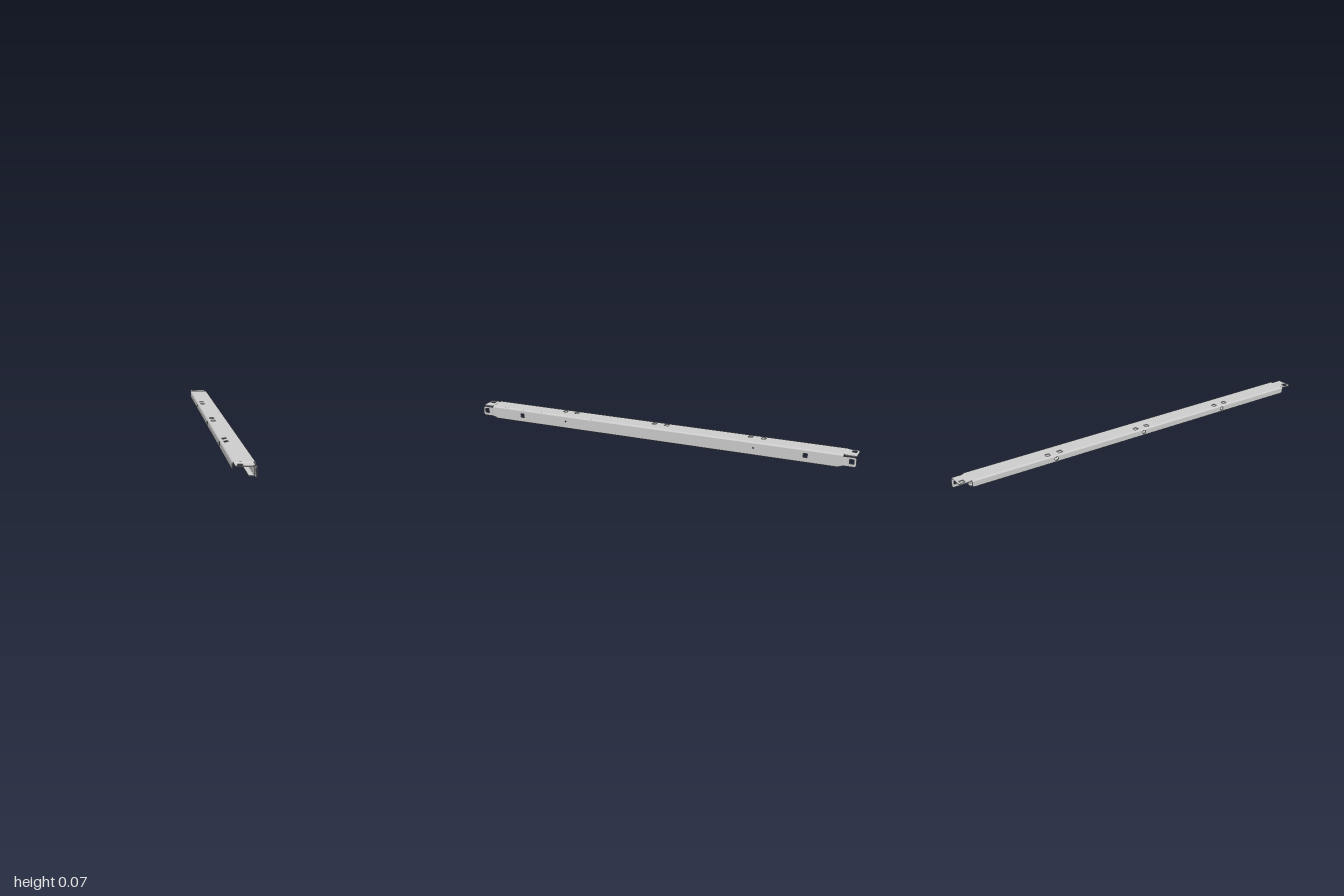
import * as THREE from 'three';
import { toCreasedNormals } from 'three/addons/utils/BufferGeometryUtils.js';

const T = 0.004;      // sheet thickness
const R = 0.007;      // outer bend radius
const X = 0.0485;     // half width
const H = 0.068;      // height
const STEP = 0.0035;  // offset of the end tabs
const Z0 = 0.94, Z1 = 0.95; // start and end of the offset bend

const material = new THREE.MeshStandardMaterial({ color: 0xcccccc });

// Outline with optional rounding per corner: [u, v, radius]
function outline(points, Type = THREE.Shape) {
  const path = new Type();
  const n = points.length;
  points.forEach(([u, v, r = 0], i) => {
    const p = new THREE.Vector2(u, v);
    const toward = (q) => new THREE.Vector2(q[0], q[1]).sub(p).setLength(r).add(p);
    const a = r ? toward(points[(i + n - 1) % n]) : p;
    if (i === 0) path.moveTo(a.x, a.y); else path.lineTo(a.x, a.y);
    if (r) {
      const b = toward(points[(i + 1) % n]);
      path.quadraticCurveTo(u, v, b.x, b.y);
    }
  });
  path.closePath();
  return path;
}

function rect(u0, v0, u1, v1, r = 0) {
  return [[u0, v0, r], [u1, v0, r], [u1, v1, r], [u0, v1, r]];
}

const squareHole = (u, v, s = 0.011) =>
  outline(rect(u - s, v - s, u + s, v + s, 0.003).reverse(), THREE.Path);

const roundHole = (u, v, r) => new THREE.Path().absarc(u, v, r, 0, Math.PI * 2, true);

function prism(points, depth, holes = []) {
  const shape = outline(points);
  shape.holes.push(...holes);
  return toCreasedNormals(
    new THREE.ExtrudeGeometry(shape, { depth, bevelEnabled: false, curveSegments: 8 }), 0.6);
}

// Horizontal sheet: outline in (x, z), upper face at y
const flat = (points, y, holes) => prism(points, T, holes).rotateX(Math.PI / 2).translate(0, y, 0);

// Upright sheet: outline in (z, y), +x face at x
const upright = (points, x, holes) => prism(points, T, holes).rotateY(-Math.PI / 2).translate(x, 0, 0);

// Quarter-round fold running along z
function fold(cx, cy, start, halfLength) {
  const s = new THREE.Shape();
  s.absarc(cx, cy, R, start, start + Math.PI / 2, false);
  s.absarc(cx, cy, R - T, start + Math.PI / 2, start, true);
  const g = new THREE.ExtrudeGeometry(s, { depth: halfLength * 2, bevelEnabled: false, curveSegments: 8 });
  return toCreasedNormals(g.translate(0, 0, -halfLength), 0.6);
}

export function createModel() {
  const group = new THREE.Group();
  const add = (name, geometry) => {
    const mesh = new THREE.Mesh(geometry, material);
    mesh.name = name;
    group.add(mesh);
  };

  // Top web with three pairs of square holes
  const topHoles = [];
  for (const z of [-0.505, 0, 0.505]) {
    for (const d of [-0.033, 0.033]) topHoles.push(squareHole(-0.022, z + d));
  }
  add('topWeb', flat(rect(-X + R, -Z0, X - R, Z0), H, topHoles));

  // Tall side wall, tapered at its lower ends
  const wallHoles = [];
  for (const s of [-1, 1]) {
    wallHoles.push(squareHole(s * 0.76, 0.037, 0.01), roundHole(s * 0.505, 0.038, 0.003));
  }
  add('sideWall', upright([
    [-0.92, R], [0.92, R], [Z0, 0.011], [Z0, H - R], [-Z0, H - R], [-Z0, 0.011],
  ], X, wallHoles));

  // Short lip on the other side
  add('sideLip', upright([
    [-Z0, 0.035, 0.012], [Z0, 0.035, 0.012], [Z0, H - R], [-Z0, H - R],
  ], -X + T, [-0.505, 0, 0.505].map((z) => roundHole(z, 0.05, 0.01))));

  // Bottom return flange
  add('bottomFlange', flat([
    [0.022, -0.92, 0.012], [X - R, -0.92], [X - R, 0.92], [0.022, 0.92, 0.012],
  ], T));

  // Folds joining the sheets
  add('wallFold', fold(X - R, H - R, 0, Z0));
  add('lipFold', fold(-X + R, H - R, Math.PI / 2, Z0));
  add('bottomFold', fold(X - R, R, -Math.PI / 2, 0.92));

  // Offset mounting tabs at both ends
  for (const s of [-1, 1]) {
    const end = s > 0 ? 'front' : 'back';
    const order = (pts) => (s > 0 ? pts : pts.slice().reverse());

    const topStep = order([[s * Z0, H - T], [s * Z1, H - T - STEP], [s * Z1, H - STEP], [s * Z0, H]]);
    add(end + 'TopStep', prism(topStep, 0.083).rotateY(-Math.PI / 2).translate(0.039, 0, 0));
    add(end + 'TopTab', flat(order([
      [-0.044, s * Z1], [0.039, s * Z1], [0.039, s, 0.006], [-0.044, s, 0.012],
    ]), H - STEP, [squareHole(-0.022, s * 0.978)]));

    const wallStep = order([[X - T, s * Z0], [X, s * Z0], [X - STEP, s * Z1], [X - T - STEP, s * Z1]]);
    add(end + 'WallStep', prism(wallStep, 0.048).rotateX(Math.PI / 2).translate(0, 0.059, 0));
    add(end + 'WallTab', upright(order([
      [s * Z1, 0.011], [s, 0.011, 0.012], [s, 0.059, 0.012], [s * Z1, 0.059],
    ]), X - STEP, [squareHole(s * 0.978, 0.037)]));
  }
  return group;
}
